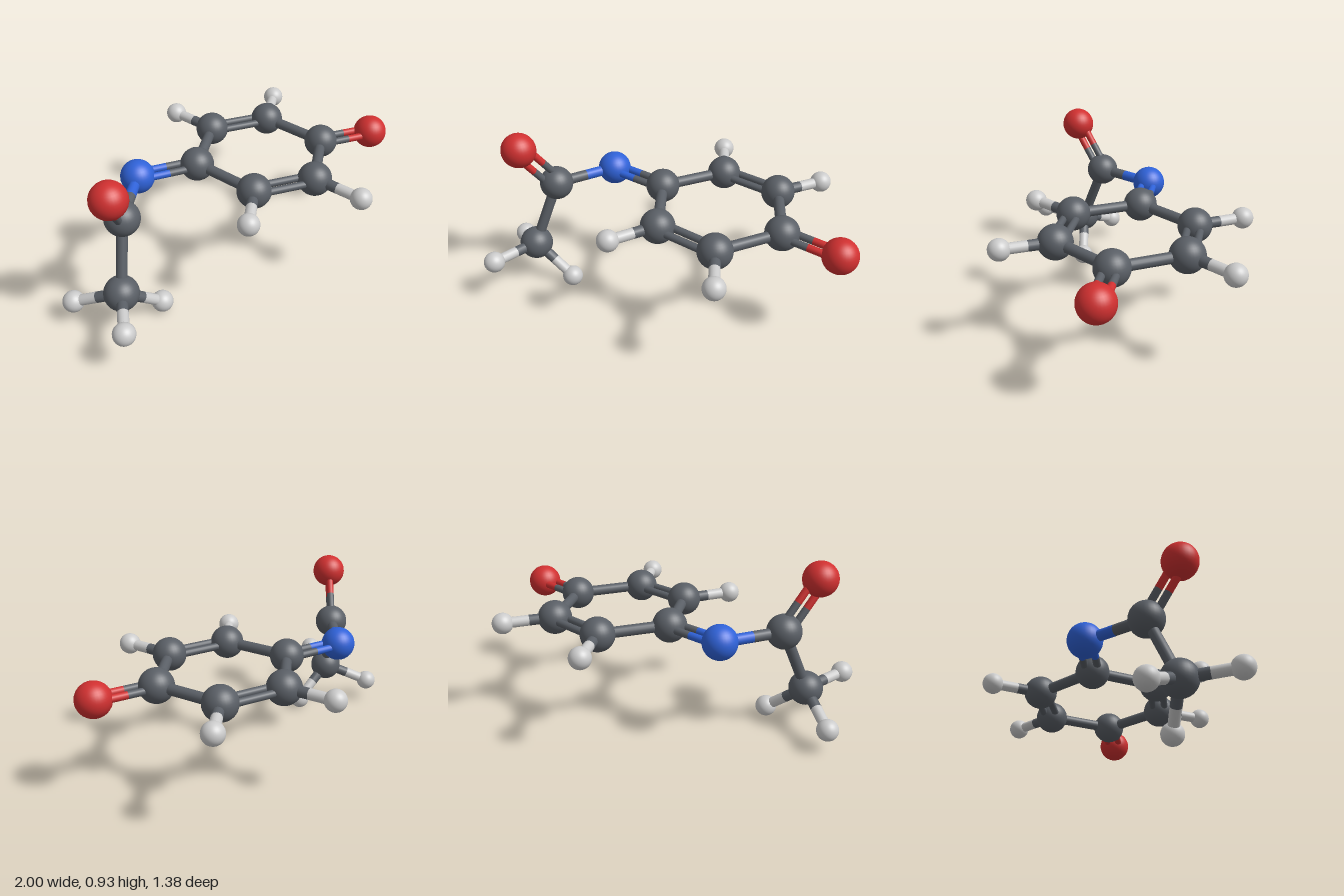
import * as THREE from 'three';

// Element styles: colour and ball radius
const ELEMENTS = {
  carbon: { color: 0x5a5f66, radius: 0.091 },
  oxygen: { color: 0xd03030, radius: 0.092 },
  nitrogen: { color: 0x2f62d8, radius: 0.091 },
  hydrogen: { color: 0xe4e4e4, radius: 0.057 },
};

// Atom centres
const ATOMS = {
  ringC1: ['carbon', -0.095, 0.575, -0.12],
  ringC2: ['carbon', 0.193, 0.565, -0.365],
  ringC3: ['carbon', 0.52, 0.56, -0.26],
  ringC4: ['carbon', 0.605, 0.558, 0.11],
  ringC5: ['carbon', 0.318, 0.567, 0.36],
  ringC6: ['carbon', -0.008, 0.575, 0.253],
  ringOxygen: ['oxygen', 0.905, 0.553, 0.208],
  ringH2: ['hydrogen', 0.13, 0.565, -0.635],
  ringH3: ['hydrogen', 0.73, 0.553, -0.44],
  ringH5: ['hydrogen', 0.38, 0.57, 0.632],
  ringH6: ['hydrogen', -0.205, 0.58, 0.447],
  bridgeNitrogen: ['nitrogen', -0.412, 0.58, -0.215],
  carbonylC: ['carbon', -0.66, 0.585, 0.036],
  carbonylOxygen: ['oxygen', -0.788, 0.842, 0.172],
  methylC: ['carbon', -0.768, 0.233, 0.15],
  methylH1: ['hydrogen', -0.903, 0.245, 0.395],
  methylH2: ['hydrogen', -0.944, 0.127, -0.046],
  methylH3: ['hydrogen', -0.55, 0.058, 0.174],
};

const SINGLE_BONDS = [
  ['ringC1', 'ringC2'], ['ringC3', 'ringC4'], ['ringC4', 'ringC5'], ['ringC6', 'ringC1'],
  ['ringC2', 'ringH2'], ['ringC3', 'ringH3'], ['ringC5', 'ringH5'], ['ringC6', 'ringH6'],
  ['bridgeNitrogen', 'carbonylC'], ['carbonylC', 'methylC'],
  ['methylC', 'methylH1'], ['methylC', 'methylH2'], ['methylC', 'methylH3'],
];

// The third atom sets the plane in which the two rods lie side by side
const DOUBLE_BONDS = [
  ['ringC2', 'ringC3', 'ringC1'],
  ['ringC5', 'ringC6', 'ringC4'],
  ['ringC1', 'bridgeNitrogen', 'ringC2'],
  ['ringC4', 'ringOxygen', 'ringC3'],
  ['carbonylC', 'carbonylOxygen', 'bridgeNitrogen'],
];

const SINGLE_RADIUS = 0.029;
const DOUBLE_RADIUS = 0.02;
const DOUBLE_OFFSET = 0.033;
const UP = new THREE.Vector3(0, 1, 0);

export function createModel() {
  const model = new THREE.Group();
  model.name = 'ballAndStickMolecule';

  const materials = {};
  const balls = {};
  for (const [element, { color, radius }] of Object.entries(ELEMENTS)) {
    materials[element] = new THREE.MeshStandardMaterial({ color });
    balls[element] = new THREE.SphereGeometry(radius, 32, 20);
  }
  const position = (name) => new THREE.Vector3(...ATOMS[name].slice(1));

  // Balls
  for (const [name, [element]] of Object.entries(ATOMS)) {
    const ball = new THREE.Mesh(balls[element], materials[element]);
    ball.name = name;
    ball.position.copy(position(name));
    model.add(ball);
  }

  // One rod between two atoms, each half in the colour of its nearer atom
  function addRod(group, a, b, radius, offset) {
    const pa = position(a).add(offset);
    const pb = position(b).add(offset);
    const dir = pb.clone().sub(pa);
    const geometry = new THREE.CylinderGeometry(radius, radius, dir.length() / 2, 16, 1, true);
    [[a, 0.25], [b, 0.75]].forEach(([atom, t]) => {
      const half = new THREE.Mesh(geometry, materials[ATOMS[atom][0]]);
      half.name = `${atom}RodHalf`;
      half.position.lerpVectors(pa, pb, t);
      half.quaternion.setFromUnitVectors(UP, dir.clone().normalize());
      group.add(half);
    });
  }

  function bondGroup(name) {
    const group = new THREE.Group();
    group.name = name;
    model.add(group);
    return group;
  }

  // Single bonds
  for (const [a, b] of SINGLE_BONDS) {
    addRod(bondGroup(`singleBond ${a} to ${b}`), a, b, SINGLE_RADIUS, new THREE.Vector3());
  }

  // Double bonds: a pair of thinner rods
  for (const [a, b, reference] of DOUBLE_BONDS) {
    const group = bondGroup(`doubleBond ${a} to ${b}`);
    const dir = position(b).sub(position(a)).normalize();
    const side = position(reference).sub(position(a)).projectOnPlane(dir).normalize();
    for (const sign of [-1, 1]) {
      addRod(group, a, b, DOUBLE_RADIUS, side.clone().multiplyScalar(sign * DOUBLE_OFFSET));
    }
  }

  return model;
}
